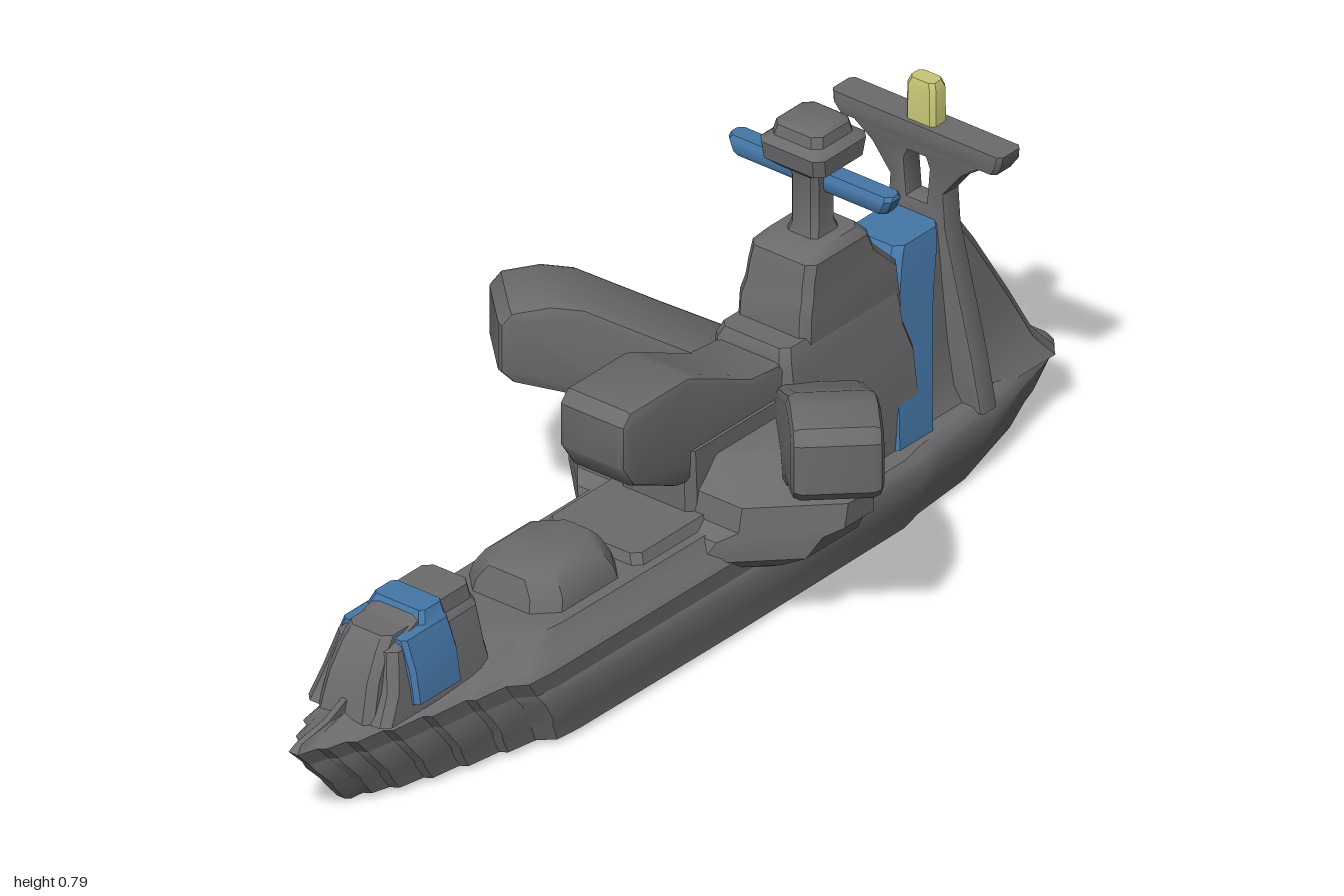
import * as THREE from 'three';
import { toCreasedNormals } from 'three/addons/utils/BufferGeometryUtils.js';

const grey = new THREE.MeshStandardMaterial({ color: 0x6b6b6d });
grey.name = 'hull grey';
const blue = new THREE.MeshStandardMaterial({ color: 0x4577a8 });
blue.name = 'band blue';
const yellow = new THREE.MeshStandardMaterial({ color: 0xc8c676 });
yellow.name = 'lamp yellow';

// Skin a stack of rings (counter-clockwise from above) and cap both ends
function loft(rings) {
  const n = rings[0].length;
  const pos = [];
  const tri = (a, b, c) => pos.push(...a, ...b, ...c);
  const middle = (r) => [0, 1, 2].map((k) => r.reduce((s, p) => s + p[k], 0) / n);
  const first = rings[0], last = rings[rings.length - 1];
  for (let i = 0; i < n; i++) {
    const j = (i + 1) % n;
    for (let r = 0; r < rings.length - 1; r++) {
      const a = rings[r], b = rings[r + 1];
      tri(a[i], a[j], b[j]);
      tri(a[i], b[j], b[i]);
    }
    tri(middle(first), first[j], first[i]);
    tri(middle(last), last[i], last[j]);
  }
  const g = new THREE.BufferGeometry();
  g.setAttribute('position', new THREE.Float32BufferAttribute(pos, 3));
  return toCreasedNormals(g, 0.6);
}

// Ring from a half-width outline, remapped to run between two z positions
function outlineRing(table, y, back, front, inset = 0) {
  const z0 = table[table.length - 1][0], z1 = table[0][0];
  const side = table.map(([z, w]) => [
    Math.max(w - inset, 0.006), y, back + ((z - z0) / (z1 - z0)) * (front - back)]);
  return [...side, ...side.slice().reverse().map(([x, yy, z]) => [-x, yy, z])];
}

// Block with cut corners; each level is [y, halfWidth, back, front]
function block(levels, cut = 0.015) {
  return loft(levels.map(([y, w, b, f]) => {
    const c = Math.min(cut, w * 0.9, (f - b) * 0.45);
    return [
      [w - c, f], [w, f - c], [w, b + c], [w - c, b],
      [c - w, b], [-w, b + c], [-w, f - c], [c - w, f],
    ].map(([x, z]) => [x, y, z]);
  }));
}

// Bevelled plate from a 2D outline, centred on its depth
function plate(points, depth, bevel, hole) {
  const shape = new THREE.Shape(points.map(([x, y]) => new THREE.Vector2(x, y)));
  if (hole) shape.holes.push(new THREE.Path(hole.map(([x, y]) => new THREE.Vector2(x, y))));
  const g = new THREE.ExtrudeGeometry(shape, {
    depth: depth - 2 * bevel, bevelEnabled: true, bevelSize: bevel,
    bevelThickness: bevel, bevelOffset: -bevel, bevelSegments: 2,
  });
  g.translate(0, 0, bevel - depth / 2);
  return toCreasedNormals(g, 0.6);
}

export function createModel() {
  const model = new THREE.Group();
  model.name = 'warship';
  const ship = new THREE.Group();
  ship.name = 'ship';
  ship.position.x = -0.012;
  model.add(ship);
  const add = (name, geometry, material = grey) => {
    const mesh = new THREE.Mesh(geometry, material);
    mesh.name = name;
    ship.add(mesh);
    return mesh;
  };

  // Hull, hollow underneath, with stepped bow plating
  const outline = [[1, 0.01], [0.96, 0.022], [0.95, 0.035], [0.91, 0.045], [0.9, 0.06],
    [0.84, 0.07], [0.83, 0.083], [0.76, 0.092], [0.75, 0.105], [0.67, 0.115], [0.66, 0.128],
    [0.59, 0.138], [0.56, 0.165], [0.5, 0.17], [0, 0.172], [-0.5, 0.168], [-0.56, 0.155],
    [-0.72, 0.142], [-0.84, 0.112], [-0.93, 0.09], [-0.98, 0.068], [-1, 0.05]];
  add('hull', loft([
    outlineRing(outline, 0.095, -0.85, 0.76, 0.055),
    outlineRing(outline, 0.01, -0.86, 0.79, 0.042),
    outlineRing(outline, 0, -0.88, 0.85, 0.022),
    outlineRing(outline, 0.01, -0.9, 0.87, 0.002),
    outlineRing(outline, 0.045, -0.94, 0.9),
    outlineRing(outline, 0.06, -0.96, 0.91, -0.003),
    outlineRing(outline, 0.1, -1, 0.95, -0.003),
    outlineRing(outline, 0.12, -0.985, 0.965, 0.002),
    outlineRing(outline, 0.132, -0.96, 0.975, 0.015),
  ]));

  // Raised foredeck running back to the bridge
  const deck = [...outline.filter(([z]) => z >= 0), [-0.36, 0.168], [-0.42, 0.13]];
  add('foredeck', loft([
    outlineRing(deck, 0.12, -0.42, 0.965, 0.002),
    outlineRing(deck, 0.155, -0.42, 1),
    outlineRing(deck, 0.168, -0.41, 0.985, 0.01),
    outlineRing(deck, 0.18, -0.4, 0.91, 0.03),
    outlineRing(deck, 0.203, -0.39, 0.86, 0.045),
  ]));
  add('midDeck', block([[0.19, 0.115, -0.4, 0.2], [0.222, 0.1, -0.4, 0.19]]));
  add('deckHatch', block([[0.19, 0.105, 0.2, 0.44], [0.225, 0.1, 0.21, 0.43],
    [0.255, 0.08, 0.22, 0.42], [0.266, 0.065, 0.23, 0.4]], 0.04));

  // Forward tower with blue band
  add('forwardTower', block([[0.17, 0.093, 0.56, 0.86], [0.22, 0.085, 0.57, 0.83],
    [0.29, 0.067, 0.57, 0.81], [0.3, 0.055, 0.57, 0.79], [0.328, 0.05, 0.575, 0.7]]));
  add('forwardTowerBand', block([[0.19, 0.102, 0.66, 0.785], [0.25, 0.092, 0.66, 0.785],
    [0.305, 0.07, 0.66, 0.783], [0.309, 0.064, 0.66, 0.727], [0.331, 0.055, 0.66, 0.717]], 0.008), blue);
  add('forwardTowerNose', block([[0.17, 0.062, 0.7, 0.87], [0.24, 0.056, 0.7, 0.85],
    [0.29, 0.051, 0.7, 0.82], [0.312, 0.047, 0.7, 0.8]]));

  // Side platforms carrying the guns
  add('gunPlatform', block([[0.11, 0.165, -0.34, 0.07], [0.135, 0.22, -0.34, 0.07],
    [0.16, 0.265, -0.34, 0.06], [0.2, 0.285, -0.34, 0.04], [0.215, 0.31, -0.33, 0.01],
    [0.26, 0.31, -0.33, 0], [0.278, 0.25, -0.33, -0.02], [0.31, 0.2, -0.32, -0.05]], 0.13));
  add('gunPedestal', block([[0.2, 0.085, -0.3, 0.02], [0.34, 0.08, -0.3, 0.02]]));

  // Three blocky guns, raised toward the muzzle
  const gunSide = [[0, 0.14], [0.13, 0.15], [0.2, 0.24], [0.28, 0.3], [0.395, 0.335], [0.42, 0.36],
    [0.42, 0.455], [0.4, 0.48], [0.33, 0.489], [0.27, 0.478], [0.12, 0.4], [0, 0.34]];
  for (const s of [1, -1]) {
    const gun = add(s > 0 ? 'leftGun' : 'rightGun', plate(gunSide, 0.162, 0.018));
    gun.position.set(s * 0.094, 0, -0.315);
    gun.rotation.y = -Math.atan2(0.73, s * 0.7);
  }
  const centreGun = add('centreGun', plate([[0, 0.24], [0.3, 0.28], [0.42, 0.335], [0.45, 0.38],
    [0.45, 0.465], [0.43, 0.488], [0.27, 0.488], [0.24, 0.475], [0.1, 0.41], [0, 0.4]], 0.148, 0.014));
  centreGun.position.z = -0.258;
  centreGun.rotation.y = -Math.PI / 2;

  // Bridge tower, stepped up to the front mast
  add('bridgeBase', block([[0.12, 0.12, -0.58, -0.25], [0.3, 0.105, -0.57, -0.24],
    [0.35, 0.09, -0.56, -0.235], [0.405, 0.084, -0.555, -0.235], [0.425, 0.075, -0.55, -0.245]]));
  add('bridge', block([[0.38, 0.082, -0.565, -0.29], [0.465, 0.08, -0.555, -0.295],
    [0.49, 0.076, -0.53, -0.305], [0.52, 0.074, -0.5, -0.31], [0.555, 0.072, -0.485, -0.32],
    [0.572, 0.058, -0.47, -0.345]]));
  add('frontMast', block([[0.56, 0.038, -0.45, -0.37], [0.59, 0.03, -0.44, -0.38],
    [0.68, 0.03, -0.44, -0.38], [0.72, 0.036, -0.45, -0.37]], 0.01));
  add('mastHead', block([[0.7, 0.045, -0.455, -0.365], [0.718, 0.07, -0.475, -0.345],
    [0.752, 0.072, -0.482, -0.34], [0.765, 0.056, -0.465, -0.355],
    [0.785, 0.052, -0.46, -0.36], [0.792, 0.044, -0.45, -0.37]]));
  const yard = add('frontYard', block([[0.653, 0.168, -0.442, -0.408], [0.662, 0.174, -0.447, -0.403],
    [0.682, 0.182, -0.447, -0.403], [0.69, 0.18, -0.442, -0.408]], 0.01), blue);
  yard.position.x = -0.008;

  // Sloping rear structure with slanted blue band
  add('rearStructure', block([[0.12, 0.11, -0.96, -0.56], [0.16, 0.085, -0.93, -0.57],
    [0.25, 0.07, -0.885, -0.59], [0.38, 0.056, -0.81, -0.62], [0.44, 0.05, -0.77, -0.63],
    [0.47, 0.046, -0.74, -0.64]], 0.025));
  add('rearBand', block([[0.13, 0.125, -0.6, -0.48], [0.2, 0.115, -0.61, -0.49],
    [0.36, 0.08, -0.655, -0.53], [0.45, 0.064, -0.685, -0.56], [0.474, 0.057, -0.69, -0.575]]), blue);

  // Rear frame mast with crossbar and lamp
  const half = [[0.145, 0.12], [0.125, 0.22], [0.065, 0.46], [0.06, 0.53], [0.1, 0.58], [0.15, 0.615]];
  const mirrored = half.slice().reverse().map(([x, y]) => [-x, y]);
  add('rearMast', plate([...half, ...mirrored], 0.046, 0.006,
    [[-0.022, 0.5], [0.022, 0.5], [0.028, 0.57], [0.02, 0.59], [-0.02, 0.59], [-0.028, 0.57]]))
    .position.z = -0.713;
  add('rearCrossbar', block([[0.61, 0.175, -0.742, -0.69], [0.63, 0.187, -0.75, -0.686],
    [0.65, 0.19, -0.748, -0.688]], 0.008));
  add('lamp', block([[0.64, 0.033, -0.74, -0.697], [0.718, 0.032, -0.739, -0.698],
    [0.732, 0.026, -0.735, -0.702]], 0.008), yellow);

  return model;
}
